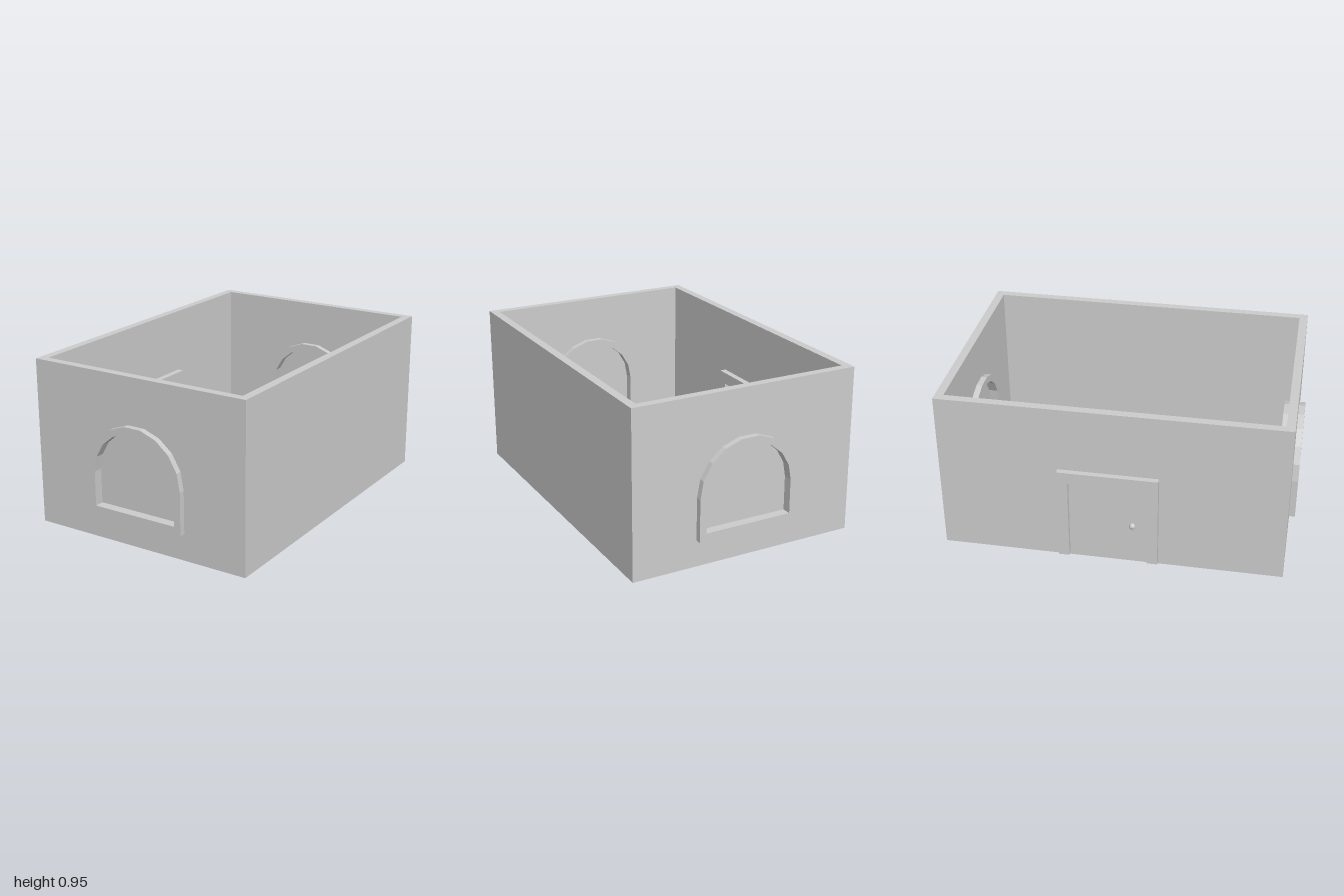
import * as THREE from 'three';

const X0 = -0.645, X1 = 0.685, Z = 0.965, H = 0.952, WALL = 0.048, FLOOR = 0.032;
const WIN_X = 0.016, SPRING = 0.395;

// Arched outline: flat sill, straight jambs and a nine-sided half circle
function archPoints(radius, sill) {
  const points = [new THREE.Vector2(WIN_X - radius, sill), new THREE.Vector2(WIN_X + radius, sill)];
  for (let i = 0; i <= 9; i++) {
    const a = (i / 9) * Math.PI;
    points.push(new THREE.Vector2(WIN_X + radius * Math.cos(a), SPRING + radius * Math.sin(a)));
  }
  return points;
}

function rectPoints(x0, y0, x1, y1) {
  return [[x0, y0], [x1, y0], [x1, y1], [x0, y1]].map(([x, y]) => new THREE.Vector2(x, y));
}

export function createModel() {
  const group = new THREE.Group();
  const material = new THREE.MeshStandardMaterial({ color: 0xcccccc, flatShading: true });

  function add(name, geometry) {
    const mesh = new THREE.Mesh(geometry, material);
    mesh.name = name;
    group.add(mesh);
    return mesh;
  }
  function box(name, x0, x1, y0, y1, z0, z1) {
    const mesh = add(name, new THREE.BoxGeometry(x1 - x0, y1 - y0, z1 - z0));
    mesh.position.set((x0 + x1) / 2, (y0 + y1) / 2, (z0 + z1) / 2);
  }
  // Slab centred on plane z, with an optional opening
  function slab(name, outline, hole, depth, z) {
    const shape = new THREE.Shape(outline);
    if (hole) shape.holes.push(new THREE.Path(hole));
    const geometry = new THREE.ExtrudeGeometry(shape, { depth, bevelEnabled: false });
    geometry.translate(0, 0, z - depth / 2);
    add(name, geometry);
  }

  // Floor and long side walls
  box('floor', X0, X1, 0, FLOOR, -Z, Z);
  box('doorWall', X0, X0 + WALL, FLOOR, H, -Z, Z);
  box('plainWall', X1 - WALL, X1, FLOOR, H, -Z, Z);

  // End walls, each with an arched window
  for (const [label, side] of [['front', 1], ['back', -1]]) {
    const z = side * (Z - WALL / 2);
    slab(label + 'Wall', rectPoints(X0 + WALL, FLOOR, X1 - WALL, H), archPoints(0.276, 0.175), WALL, z);
    slab(label + 'WindowFrame', archPoints(0.296, 0.152), archPoints(0.256, 0.198), 0.118, z);
    slab(label + 'WindowPane', archPoints(0.266, 0.188), null, 0.01, z);
  }

  // Door frame straddles the wall: two jambs and a header
  const dx0 = -0.677, dx1 = -0.56, dz0 = -0.294, dz1 = 0.266, top = 0.575, jamb = 0.06, header = 0.07;
  box('doorJambBack', dx0, dx1, 0.017, top - header, dz0, dz0 + jamb);
  box('doorJambFront', dx0, dx1, 0.017, top - header, dz1 - jamb, dz1);
  box('doorHeader', dx0, dx1, top - header, top, dz0, dz1);

  // Door leaf and knob
  box('doorPanel', X0 - 0.004, X0 + WALL + 0.004, 0.017, top - header, dz0 + jamb, dz1 - jamb);
  add('doorKnob', new THREE.SphereGeometry(0.018, 12, 8)).position.set(-0.668, 0.259, 0.124);

  return group;
}
